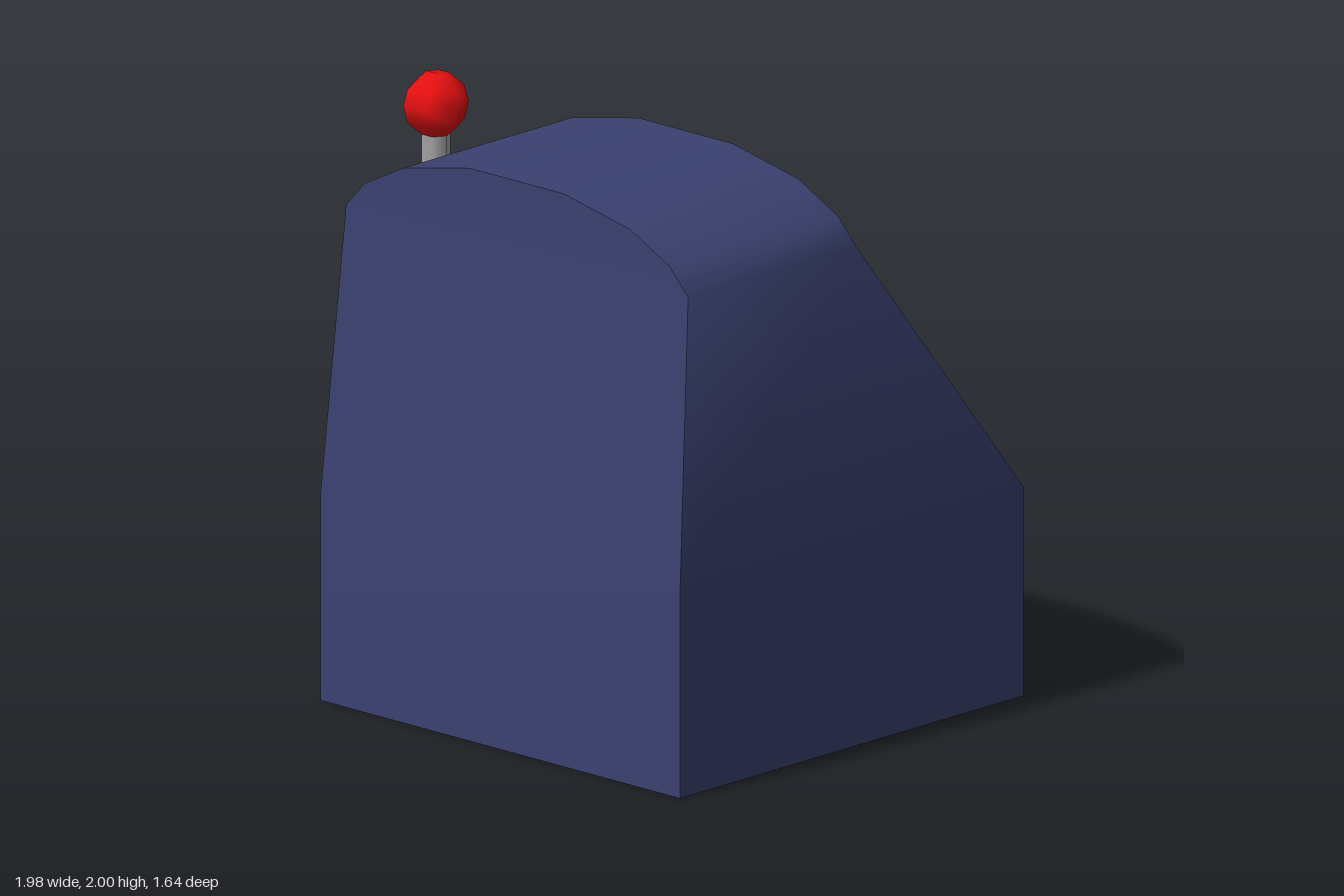
import * as THREE from 'three';
import { toCreasedNormals } from 'three/addons/utils/BufferGeometryUtils.js';

const mat = (name, color) => {
  const m = new THREE.MeshStandardMaterial({ color, side: THREE.DoubleSide });
  m.name = name;
  return m;
};

// Geometry from a list of quads, corners anticlockwise from outside
function quads(list) {
  const pos = list.flatMap(([a, b, c, d]) => [a, b, c, a, c, d]).flat();
  const g = new THREE.BufferGeometry();
  g.setAttribute('position', new THREE.Float32BufferAttribute(pos, 3));
  g.computeVertexNormals();
  return g;
}

export function createModel() {
  const navy = mat('navy', 0x3a4170);
  const charcoal = mat('charcoal', 0x525252);
  const black = mat('black', 0x0c0c0c);
  const paleGrey = mat('paleGrey', 0xdcdcdc);
  const steel = mat('steel', 0xa6a6a6);
  const red = mat('red', 0xe81010);

  const model = new THREE.Group();
  const add = (name, geometry, material) => {
    const mesh = new THREE.Mesh(geometry, material);
    mesh.name = name;
    model.add(mesh);
    return mesh;
  };

  // Cabinet rows: height, half width, front z, back z
  const cx = 0.165;
  const rows = [
    [0, 0.82, 0.82, -0.82], [0.72, 0.82, 0.82, -0.82], [1.7, 0.78, 0.74, -0.065],
    [1.79, 0.695, 0.74, -0.065], [1.88, 0.515, 0.74, -0.065], [1.94, 0.215, 0.74, -0.065],
  ].map(([y, w, f, b]) => ({
    lf: [cx - w, y, f], rf: [cx + w, y, f], lb: [cx - w, y, b], rb: [cx + w, y, b],
  }));
  const shell = [];
  for (let i = 0; i < rows.length - 1; i++) {
    const p = rows[i], q = rows[i + 1];
    shell.push([p.rf, p.rb, q.rb, q.rf], [p.lb, p.lf, q.lf, q.lb], [p.lf, p.rf, q.rf, q.lf]);
    if (i !== 1) shell.push([p.rb, p.lb, q.lb, q.rb]); // the sloping row holds the screen
  }
  const top = rows[rows.length - 1];
  shell.push([top.lf, top.rf, top.rb, top.lb]); // underside stays open
  add('cabinet', toCreasedNormals(quads(shell), 0.9), navy);

  // Screen frame, recess and screen on the slope
  const depth = 0.088;
  const onSlope = (x, z, d = 0) =>
    [cx + x, 0.72 + (z + 0.82) * (0.98 / 0.755) - 0.61 * d, z + 0.792 * d];
  const loop = (wLow, zLow, wHigh, zHigh, d) => [
    onSlope(wLow, zLow, d), onSlope(-wLow, zLow, d),
    onSlope(-wHigh, zHigh, d), onSlope(wHigh, zHigh, d),
  ];
  const ring = (a, b) => a.map((p, i) => [p, a[(i + 1) % 4], b[(i + 1) % 4], b[i]]);
  const outer = loop(0.82, -0.82, 0.78, -0.065, 0);
  const inner = loop(0.695, -0.75, 0.663, -0.145, 0);
  const sunk = loop(0.695, -0.75, 0.663, -0.145, depth);
  add('screenFrame', quads(ring(outer, inner)), charcoal);
  add('screenRecess', quads(ring(inner, sunk)), black);
  add('screen', quads([sunk]), paleGrey);

  // Six-sided turned parts of the side lever
  const turned = (points) => new THREE.LatheGeometry(
    points.map(([r, h]) => new THREE.Vector2(r, h)), 6, Math.PI / 2);
  const housing = add('leverHousing',
    turned([[0.32, 0.45], [0.32, 0.91], [0.19, 0.99], [0, 0.99]]), charcoal);
  housing.rotation.z = Math.PI / 2;
  housing.position.set(0, 0.89, 0.17);

  const rod = add('leverRod', turned([[0.05, 1.1], [0.05, 1.82]]), steel);
  rod.position.set(-0.75, 0, 0.17);

  const knob = add('leverKnob', turned([
    [0, -0.105], [0.045, -0.105], [0.098, -0.058], [0.113, 0],
    [0.098, 0.058], [0.045, 0.105], [0, 0.105],
  ]), red);
  knob.position.set(-0.75, 1.895, 0.17);

  return model;
}
